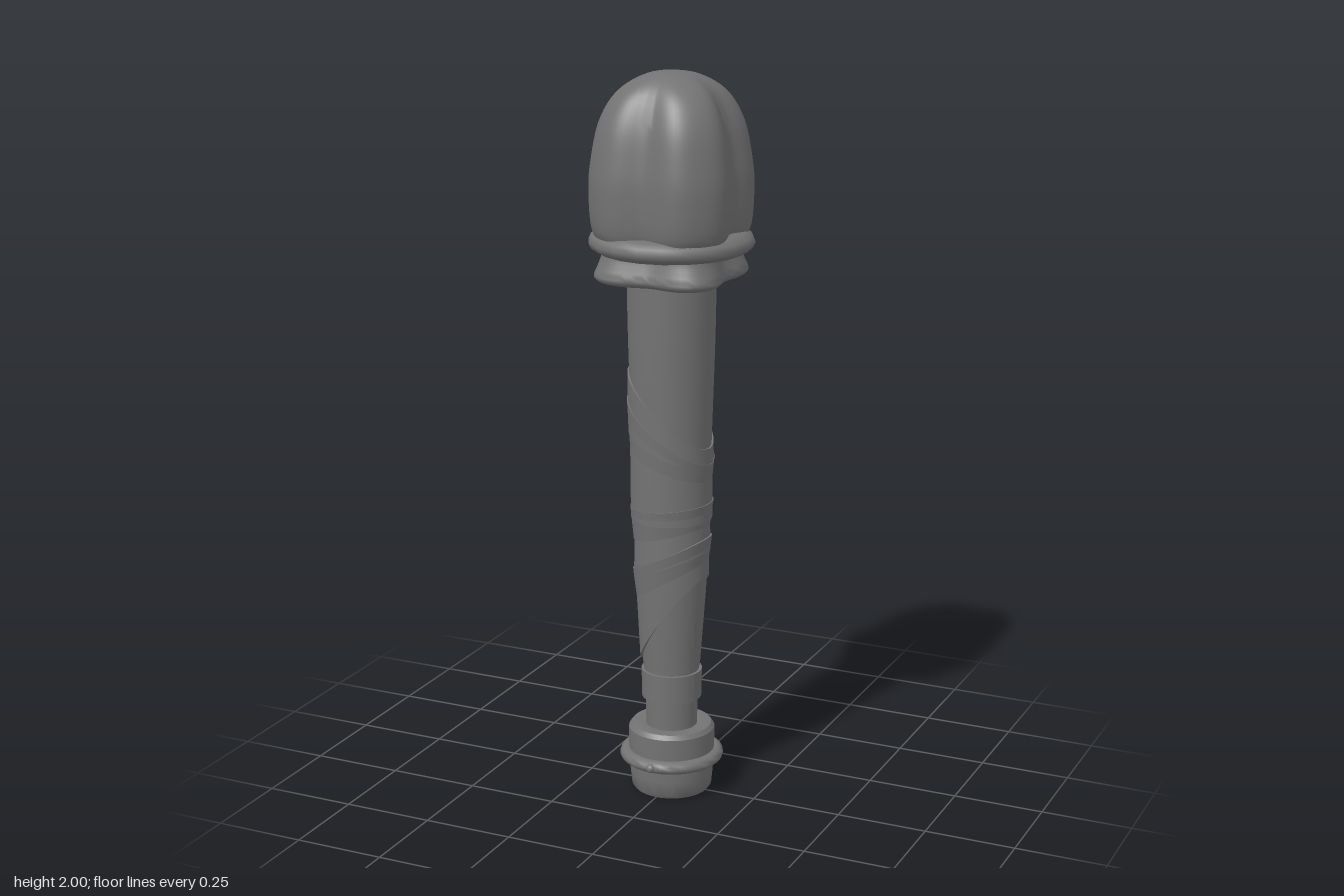
import * as THREE from 'three';
import { toCreasedNormals } from 'three/addons/utils/BufferGeometryUtils.js';

const material = new THREE.MeshStandardMaterial({ color: 0x737373, side: THREE.DoubleSide });

// Turned part; reshape(v, angle) may move each vertex
function turned(name, profile, segments = 48, reshape = null, crease = 0.6) {
  const geo = new THREE.LatheGeometry(profile.map(([r, y]) => new THREE.Vector2(r, y)), segments);
  const pos = geo.attributes.position;
  const v = new THREE.Vector3();
  if (reshape) {
    for (let i = 0; i < pos.count; i++) {
      v.fromBufferAttribute(pos, i);
      reshape(v, Math.atan2(v.z, v.x));
      pos.setXYZ(i, v.x, v.y, v.z);
    }
  }
  const mesh = new THREE.Mesh(toCreasedNormals(geo, crease), material);
  mesh.name = name;
  return mesh;
}

// Smooth a few profile points into a curve
const smooth = (pts, n) => new THREE.SplineCurve(pts.map(([r, y]) => new THREE.Vector2(r, y)))
  .getPoints(n).map((p) => [Math.max(p.x, 0), p.y]);

// Profile of a rounded ring with oval section
function ovalRing(radius, y, halfWidth, halfHeight, n = 12) {
  return Array.from({ length: n + 1 }, (_, i) => {
    const a = (i / n) * Math.PI * 2;
    return [radius + halfWidth * Math.cos(a), y + halfHeight * Math.sin(a)];
  });
}

// Scale a vertex sideways
function scaleRadius(v, k) {
  v.x *= k;
  v.z *= k;
}

// 1 in the four valleys on the axes, 0 on the four diagonal lobes
const valley = (a) => (1 + Math.cos(4 * a)) / 2;

// Handle radius at a height
const shaftPoints = [[0.07, 0.17], [0.076, 0.36], [0.092, 0.6], [0.103, 0.85], [0.111, 1.1], [0.117, 1.3], [0.12, 1.5]];
function shaftRadius(y) {
  for (let i = 1; i < shaftPoints.length; i++) {
    const [r0, y0] = shaftPoints[i - 1], [r1, y1] = shaftPoints[i];
    if (y <= y1) return r0 + (r1 - r0) * (y - y0) / (y1 - y0);
  }
  return 0.12;
}

// Band wound round the handle: edges are [height, slope across x], thickness runs from low to high edge
function wrap(low, high, thickLow, thickHigh) {
  const steps = [0, 0.25, 0.5, 0.75, 1].map((t) => [THREE.MathUtils.lerp(thickLow, thickHigh, t), t]);
  const rows = [[-0.004, 0], ...steps, [-0.004, 1]];
  return turned('gripWrap', rows.map(([r, t]) => [1 + r, t]), 64, (v, a) => {
    const offset = Math.hypot(v.x, v.z) - 1;
    const x = Math.cos(a) * 0.105;
    v.y = THREE.MathUtils.lerp(low[0] + low[1] * x, high[0] + high[1] * x, v.y);
    const r = shaftRadius(v.y) + offset;
    v.x = Math.cos(a) * r;
    v.z = Math.sin(a) * r;
  });
}

export function createModel() {
  const model = new THREE.Group();
  model.name = 'club';

  // Four-lobed domed head, its valleys fading out at the crown
  const head = smooth([[0.175, 1.54], [0.212, 1.585], [0.221, 1.69], [0.215, 1.77], [0.193, 1.87],
    [0.147, 1.945], [0.076, 1.988], [0, 2]], 32);
  model.add(turned('head', [[0, 1.54], ...head], 96, (v, a) => {
    const fade = THREE.MathUtils.smoothstep(Math.hypot(v.x, v.z), 0, 0.19);
    scaleRadius(v, 1 - 0.2 * fade * valley(a) ** 2);
  }));

  // Round collar and the lobed skirt below it
  model.add(turned('collar', ovalRing(0.17, 1.553, 0.052, 0.03), 20, null, 1.2));
  const skirt = smooth([[0.11, 1.444], [0.185, 1.45], [0.213, 1.466], [0.203, 1.495], [0.193, 1.52], [0.188, 1.545]], 16);
  model.add(turned('skirt', skirt, 80, (v, a) => scaleRadius(v, 1 - 0.24 * valley(a)), 0.9));

  // Tapered handle
  model.add(turned('handle', smooth(shaftPoints, 24), 40));

  // Overlapping wound bands of the grip
  const bands = [
    [[0.99, -0.45], [1.1, -1.0], 0.008, 0.005],
    [[0.87, -0.2], [1.04, -0.85], 0.002, 0.009],
    [[0.79, 0.0], [0.99, -0.35], 0.01, 0.004],
    [[0.75, 0.25], [0.83, 0.1], 0.006, 0.011],
    [[0.66, 0.4], [0.775, 0.25], 0.01, 0.003],
    [[0.58, 0.6], [0.69, 0.5], 0.004, 0.012],
    [[0.5, 1.25], [0.63, 0.45], 0.009, 0.006],
    [[0.36, 0.0], [0.55, 1.0], 0.002, 0.004],
    [[0.27, 0.0], [0.35, 0.0], 0.009, 0.008],
  ];
  for (const band of bands) model.add(wrap(...band));

  // Pommel with ring and studs
  model.add(turned('pommel', [[0, 0], [0.104, 0], [0.111, 0.01], [0.115, 0.05], [0.117, 0.09], [0.119, 0.13],
    [0.119, 0.178], [0.11, 0.19], [0.085, 0.192], [0.06, 0.185]], 40));
  model.add(turned('pommelRing', ovalRing(0.122, 0.1, 0.022, 0.018), 32, null, 1.2));
  for (const side of [1, -1]) {
    const stud = new THREE.Mesh(new THREE.SphereGeometry(0.013, 16, 10), material);
    stud.name = 'pommelStud';
    stud.position.set(0, 0.1, side * 0.138);
    model.add(stud);
  }
  return model;
}
